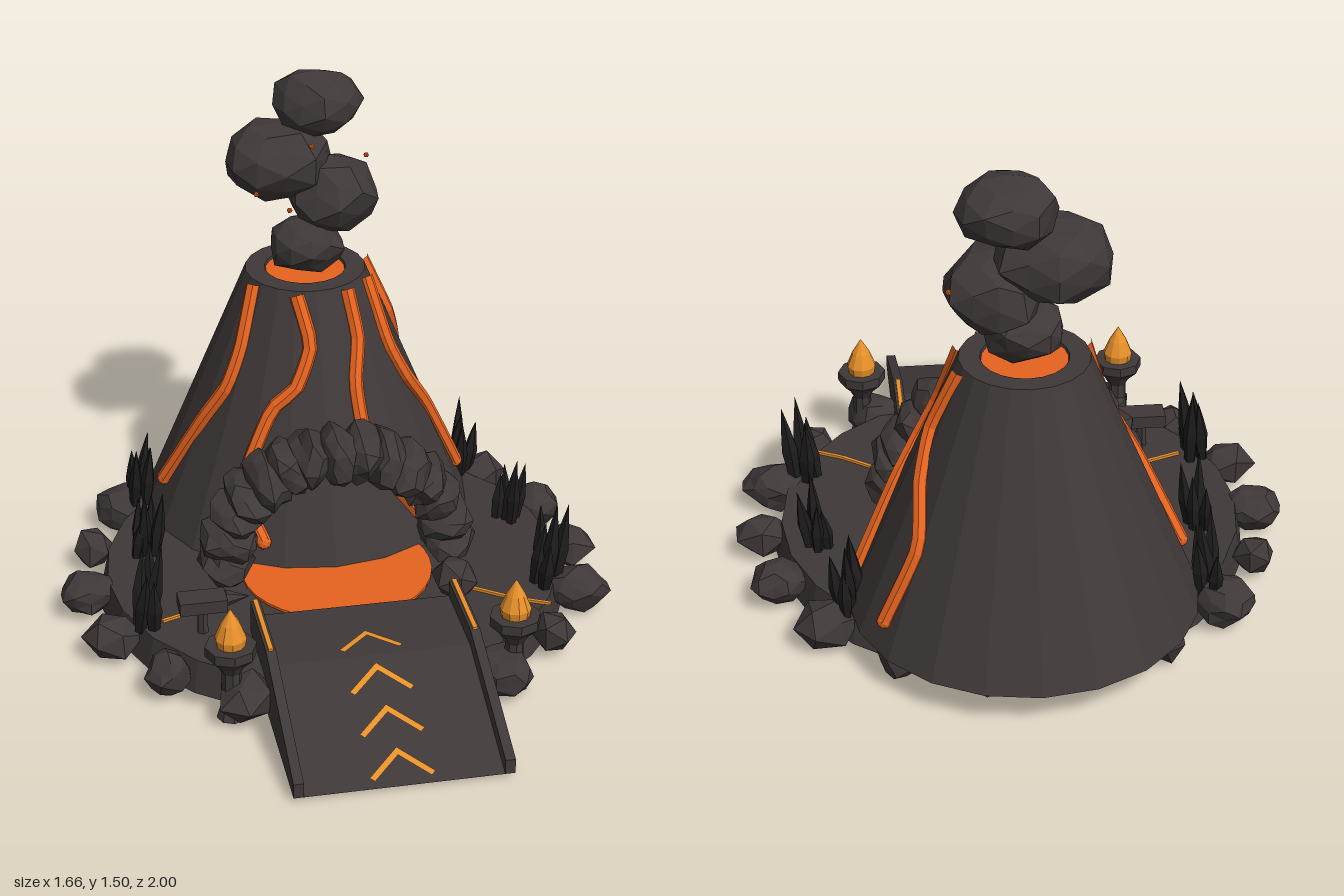
import * as THREE from 'three';

const mat = (name, color, extra = {}) => {
  const m = new THREE.MeshStandardMaterial({ color, flatShading: true, ...extra });
  m.name = name;
  return m;
};

export function createModel() {
  const stone = mat('stone', 0x3f3838);
  const obsidian = mat('obsidian', 0x1e1c1d);
  const lava = mat('lava', 0xe8641f);
  const amber = mat('amber', 0xe8912a);
  const model = new THREE.Group();
  model.name = 'volcano';
  const CX = -0.04;

  const add = (name, geo, material, x = 0, y = 0, z = 0, parent = model) => {
    const m = new THREE.Mesh(geo, material);
    m.name = name;
    m.position.set(x, y, z);
    parent.add(m);
    return m;
  };

  // Faceted rock: polyhedron with every corner pushed in or out by a position hash
  const rock = (sx, sy, sz, seed, detail = 1, rough = 0.3) => {
    const g = new THREE.IcosahedronGeometry(1, detail);
    const p = g.attributes.position;
    const v = new THREE.Vector3();
    for (let i = 0; i < p.count; i++) {
      v.fromBufferAttribute(p, i);
      const k = [v.x, v.y, v.z].map(c => Math.round(c * 50));
      const h = Math.sin(k[0] * 1.27 + k[1] * 3.11 + k[2] * 7.47 + seed * 5.3) * 43758.5;
      v.multiplyScalar(1 + rough * (h - Math.floor(h) - 0.6));
      p.setXYZ(i, v.x * sx, v.y * sy, v.z * sz);
    }
    g.computeVertexNormals();
    return g;
  };

  // Island base and its ring of boulders
  const baseZ = -0.06;
  add('islandBase', new THREE.CylinderGeometry(0.69, 0.71, 0.1, 24), stone, CX, 0.05, baseZ);
  for (let i = 0; i < 18; i++) {
    const a = i * Math.PI / 9;
    const z = baseZ + 0.75 * Math.sin(a);
    if (z > 0.6) continue; // leave the entrance free
    const size = 0.075 + 0.014 * Math.sin(i * 2.4);
    const b = add('edgeBoulder', rock(size * 1.15, 0.07, size, i + 1, i % 2, 0.25), stone,
      CX + 0.75 * Math.cos(a), 0.064, z);
    b.rotation.y = -a;
  }

  // Mountain with an open crater
  const MZ = -0.49, TOP = 0.89;
  const coneR = y => 0.185 + (TOP - y) / 0.79 * 0.325;
  const profile = [[0, 0.1], [0.51, 0.1], [0.185, TOP], [0.125, TOP], [0.115, 0.86], [0, 0.86]]
    .map(([x, y]) => new THREE.Vector2(x, y));
  add('mountain', new THREE.LatheGeometry(profile, 20), stone, CX, 0, MZ);
  add('craterLava', new THREE.CylinderGeometry(0.122, 0.122, 0.008, 20), lava, CX, 0.878, MZ);

  // Lava streams: [angle in degrees, height] pairs on the mountain's slope
  const streams = [
    [[155, 0.88], [148, 0.7], [150, 0.58], [160, 0.46], [174, 0.22]],
    [[108, 0.88], [97, 0.74], [106, 0.62], [119, 0.55], [128, 0.32], [116, 0.18]],
    [[59, 0.88], [61, 0.74], [70, 0.62], [71, 0.5], [69, 0.4], [53, 0.2]],
    [[27, 0.88], [34, 0.68], [28, 0.56], [17, 0.44], [7, 0.19]],
    [[-15, 0.88], [-8, 0.7], [-20, 0.57], [-34, 0.42], [-29, 0.19]],
  ];
  for (const s of streams) {
    const pts = s.map(([d, y]) => {
      const a = d * Math.PI / 180, r = coneR(y) + 0.003;
      return new THREE.Vector3(CX + r * Math.cos(a), y, MZ + r * Math.sin(a));
    });
    const curve = new THREE.CatmullRomCurve3(pts, false, 'catmullrom', 0.25);
    add('lavaStream', new THREE.TubeGeometry(curve, 20, 0.023, 7), lava);
    const end = pts[pts.length - 1];
    add('lavaDrip', new THREE.IcosahedronGeometry(0.023, 1), lava, end.x, end.y, end.z);
  }

  // Smoke column: x, y, z, half sizes
  const puffs = [
    [-0.04, 0.97, -0.48, 0.12, 0.09, 0.115], [0.045, 1.12, -0.515, 0.145, 0.13, 0.145],
    [-0.11, 1.23, -0.55, 0.17, 0.125, 0.155], [0.015, 1.39, -0.58, 0.14, 0.1, 0.135],
  ];
  puffs.forEach(([x, y, z, a, b, c], i) =>
    add('smokePuff', rock(a, b, c, i + 31, 1, 0.2), stone, x, y, z));
  for (const [x, y, z] of [[-0.21, 1.2, -0.355], [-0.11, 1.14, -0.355], [0.18, 1.18, -0.635], [-0.03, 1.31, -0.425]])
    add('ember', new THREE.IcosahedronGeometry(0.009, 0), lava, x, y, z);

  // Rock arch over the lava pool
  const N = 14;
  for (let i = 0; i <= N; i++) {
    const a = Math.PI * i / N;
    const r = add('archRock', rock(0.085, 0.065, 0.13, i + 50, 1, 0.32), stone,
      CX + 0.34 * Math.cos(a), 0.18 + 0.325 * Math.sin(a), 0.005 + 0.012 * Math.sin(i * 2));
    r.rotation.z = a + 0.15 * Math.sin(i * 3);
  }
  add('archFootRock', rock(0.075, 0.07, 0.085, 71, 0, 0.2), stone, 0.29, 0.14, 0.19);
  add('lavaPool', new THREE.CylinderGeometry(0.29, 0.29, 0.008, 32), lava, CX, 0.107, 0.015);

  // Ramp: side profile in (z, y) extruded across x
  const slab = (name, pts, x0, x1) => {
    const shape = new THREE.Shape(pts.map(([z, y]) => new THREE.Vector2(-z, y)));
    const g = new THREE.ExtrudeGeometry(shape, { depth: x1 - x0, bevelEnabled: false });
    g.rotateY(Math.PI / 2);
    return add(name, g, stone, x0, 0, 0);
  };
  slab('ramp', [[0.3, 0], [1, 0], [0.57, 0.15], [0.3, 0.15]], -0.325, 0.245);
  for (const s of [-1, 1]) {
    const x = CX + s * 0.2975;
    slab('rampRail', [[0.3, 0], [1, 0], [1, 0.045], [0.57, 0.2], [0.3, 0.2]], x - 0.0145, x + 0.0145);
    add('railGlow', new THREE.BoxGeometry(0.014, 0.008, 0.27), amber, x, 0.203, 0.435);
  }

  // Glowing chevrons that follow the deck
  const deckY = z => 0.154 - 0.15 * Math.max(0, (z - 0.57) / 0.43);
  for (const z of [0.445, 0.6, 0.74, 0.88]) {
    for (const s of [-1, 1]) {
      const row = [[0, 0], [0, 0.025], [0.093, 0.088], [0.08, 0.1], [0, 0.025], [0.013, 0]];
      const corners = [row[0], row[1], row[3], row[2]];
      const pos = corners.flatMap(([x, dz]) => [CX + s * x, deckY(z + dz), z + dz]);
      const g = new THREE.BufferGeometry();
      g.setAttribute('position', new THREE.Float32BufferAttribute(pos, 3));
      g.setIndex(s > 0 ? [0, 1, 2, 0, 2, 3] : [0, 2, 1, 0, 3, 2]);
      g.computeVertexNormals();
      add('chevronArm', g, amber);
    }
  }

  // Glowing cracks in the ground
  for (const [x0, z0, x1, z1] of [[-0.6, 0.205, -0.38, 0.125], [0.34, 0.2, 0.45, 0.28], [0.45, 0.28, 0.55, 0.33]]) {
    const g = new THREE.BoxGeometry(Math.hypot(x1 - x0, z1 - z0), 0.008, 0.011);
    add('groundCrack', g, amber, (x0 + x1) / 2, 0.104, (z0 + z1) / 2).rotation.y = -Math.atan2(z1 - z0, x1 - x0);
  }

  // Arrow-shaped marker beside the ramp
  add('markerPost', new THREE.CylinderGeometry(0.015, 0.018, 0.1, 6), stone, -0.49, 0.14, 0.275);
  add('markerBoard', new THREE.BoxGeometry(0.14, 0.04, 0.075), stone, -0.49, 0.2, 0.275);
  add('markerTip', new THREE.ConeGeometry(0.025, 0.07, 6), stone, -0.385, 0.205, 0.275).rotation.z = -Math.PI / 2;

  // Torches flanking the ramp
  for (const s of [-1, 1]) {
    const torch = new THREE.Group();
    torch.name = 'torch';
    torch.position.set(CX + s * 0.413, 0, 0.575);
    model.add(torch);
    const post = [[0, 0], [0.045, 0], [0.03, 0.05], [0.028, 0.15], [0.045, 0.18], [0.075, 0.21], [0.075, 0.24], [0, 0.24]]
      .map(([x, y]) => new THREE.Vector2(x, y));
    add('torchStand', new THREE.LatheGeometry(post, 8), stone, 0, 0, 0, torch);
    const fire = [[0, 0.235], [0.042, 0.24], [0.046, 0.265], [0.028, 0.31], [0, 0.358]]
      .map(([x, y]) => new THREE.Vector2(x, y));
    add('torchFlame', new THREE.LatheGeometry(fire, 10), amber, 0, 0, 0, torch);
  }

  // Obsidian crystal clusters: x, z, scale
  const crystal = [[0, 0], [0.02, 0], [0.03, 0.12], [0.017, 0.2], [0, 0.28]]
    .map(([x, y]) => new THREE.Vector2(x, y));
  const clusters = [[-0.64, 0.2, 1], [0.57, 0.2, 1], [-0.6, -0.19, 0.85], [0.54, -0.19, 0.85],
    [-0.58, -0.52, 0.9], [0.46, -0.52, 0.9]];
  clusters.forEach(([x, z, size], c) => {
    const cluster = new THREE.Group();
    cluster.name = 'crystalCluster';
    cluster.position.set(x, 0.09, z);
    cluster.scale.setScalar(size);
    model.add(cluster);
    for (let i = 0; i < 5; i++) {
      const a = i * 1.257 + c * 0.8, d = i ? 0.035 : 0;
      const m = add('crystal', new THREE.LatheGeometry(crystal, 5), obsidian, d * Math.cos(a), 0, d * Math.sin(a), cluster);
      const h = i ? 0.55 + 0.1 * i : 1.02;
      m.scale.set(0.85, h, 0.85);
      m.rotation.set(0.16 * Math.sin(a), a, -0.16 * Math.cos(a));
    }
  });

  return model;
}
